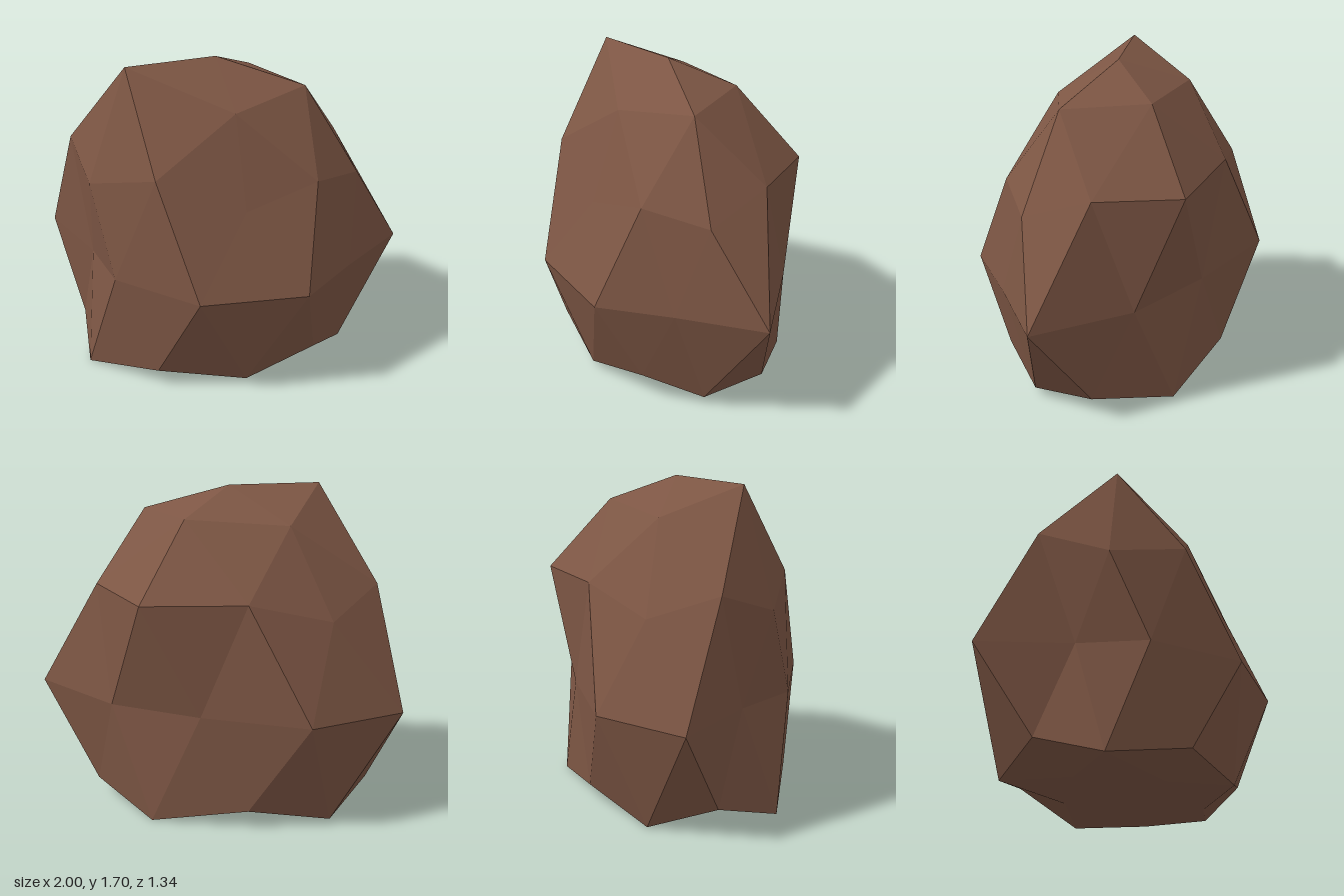
import * as THREE from 'three';

// Ellipsoid stretch and centre of the boulder
const SCALE = new THREE.Vector3(1, 1.25, 0.72);
const CENTRE = new THREE.Vector3(-0.01, 0.6, -0.03);

// A point at a longitude, latitude (height and ring radius) and distance from the centre;
// everything below the ground is pressed flat onto it
function rockPoint(degrees, ringRadius, height, distance) {
  const a = THREE.MathUtils.degToRad(degrees);
  const p = new THREE.Vector3(Math.cos(a) * ringRadius, height, Math.sin(a) * ringRadius);
  p.multiplyScalar(distance).multiply(SCALE).add(CENTRE);
  p.y = Math.max(0, p.y);
  return p;
}

// One ring of points; corner and mid-edge points of the icosphere alternate in latitude
function ring(start, step, distances, latitudes) {
  return distances.map((d, i) => rockPoint(start + i * step, ...latitudes[i % latitudes.length], d));
}

function boulderGeometry() {
  const CORNER = [0.894, 0.447], MID = [0.851, 0.526], CAP = [0.526, 0.851];
  const down = ([r, h]) => [r, -h];

  // Uneven distances from the centre give the worn, lumpy outline
  const top = rockPoint(0, 0, 1, 0.88);
  const cap = ring(0, 72, [0.9, 0.84, 1.03, 0.88, 0.91], [CAP]);
  const upper = ring(0, 36, [0.86, 0.82, 0.76, 0.92, 0.87, 0.94, 0.87, 0.91, 1.05, 0.92], [CORNER, MID]);
  const waist = ring(18, 36, [0.79, 0.93, 0.975, 0.82, 0.705, 1.04, 0.985, 0.79, 0.86, 1.06], [[1, 0]]);
  const lower = ring(0, 36, [0.84, 0.8, 0.85, 0.905, 0.98, 0.87, 0.93, 0.9, 1.01, 0.91], [down(MID), down(CORNER)]);
  const base = ring(36, 72, [0.9, 0.9, 0.9, 0.9, 1.1], [down(CAP)]);
  const bottom = rockPoint(0, 0, -1, 0.88);

  const corners = [];
  const face = (a, b, c) => corners.push(a, b, c);
  const at = (list, i) => list[i % list.length];

  // Crown and underside, five sectors each
  for (let k = 0; k < 5; k++) {
    const a = cap[k], a2 = at(cap, k + 1), m = at(upper, 2 * k + 1);
    face(top, a2, a);
    face(a, m, upper[2 * k]);
    face(a, a2, m);
    face(a2, at(upper, 2 * k + 2), m);

    const e = base[k], e2 = at(base, k + 1), n = at(lower, 2 * k + 2);
    face(bottom, e, e2);
    face(e, at(lower, 2 * k + 1), n);
    face(e, n, e2);
    face(e2, n, at(lower, 2 * k + 3));
  }

  // Zigzag bands above and below the waist
  for (let j = 0; j < 10; j++) {
    const c = waist[j], c2 = at(waist, j + 1);
    face(upper[j], at(upper, j + 1), c);
    face(c, at(upper, j + 1), c2);
    face(lower[j], c, at(lower, j + 1));
    face(c, c2, at(lower, j + 1));
  }

  const geometry = new THREE.BufferGeometry().setFromPoints(corners);
  geometry.computeVertexNormals();
  return geometry;
}

export function createModel() {
  const group = new THREE.Group();
  group.name = 'rock';

  const stone = new THREE.MeshStandardMaterial({ color: 0x7d5644, flatShading: true });
  stone.name = 'brown stone';

  const boulder = new THREE.Mesh(boulderGeometry(), stone);
  boulder.name = 'boulder';
  group.add(boulder);
  return group;
}
